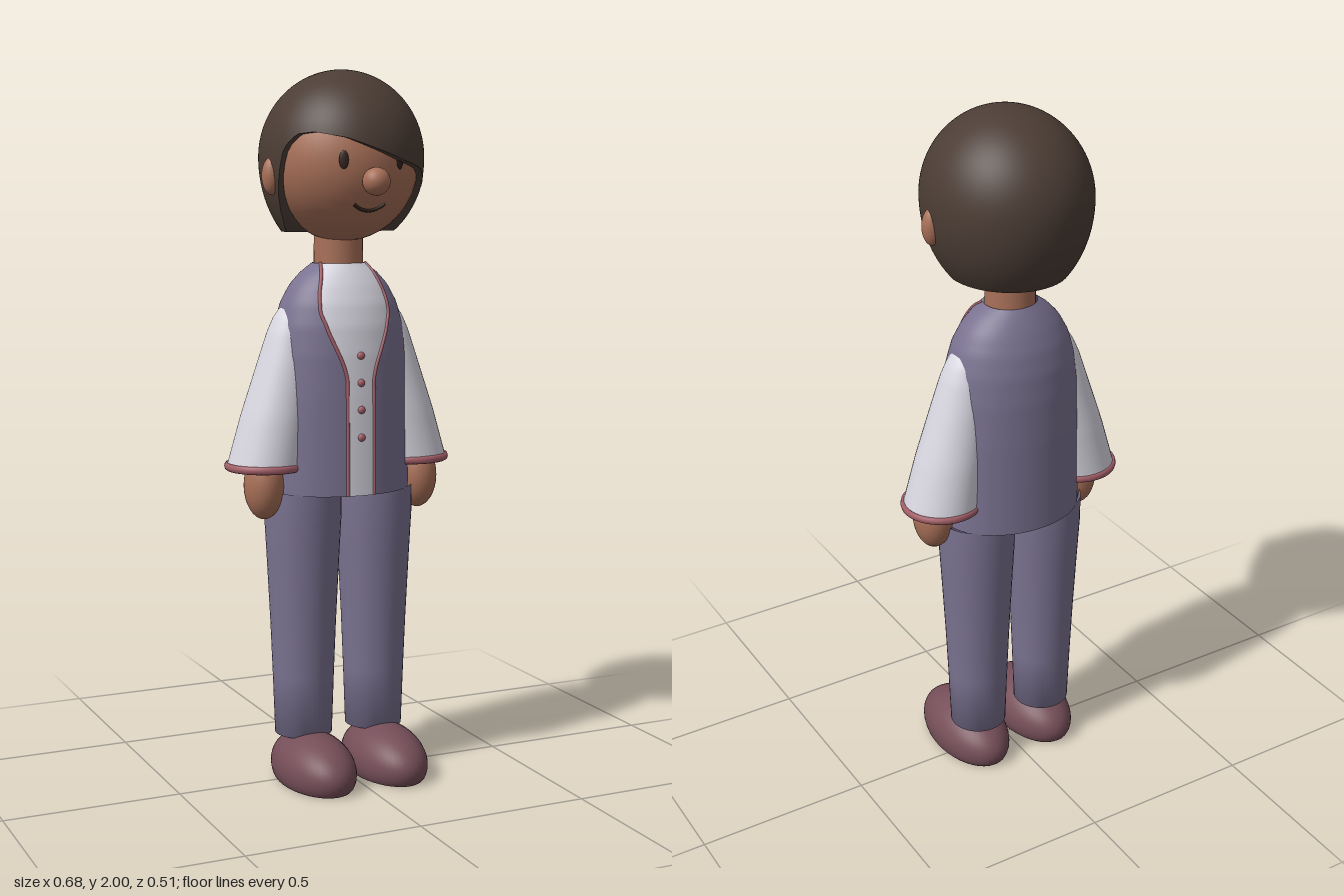
import * as THREE from 'three';
import { mergeVertices } from 'three/addons/utils/BufferGeometryUtils.js';

const material = (name, color, side = THREE.FrontSide) => {
  const m = new THREE.MeshStandardMaterial({ color, side });
  m.name = name;
  return m;
};

// Piecewise linear lookup: rows are [key, value, value...], sorted by key
function sample(rows, key) {
  let i = 0;
  while (i < rows.length - 2 && key > rows[i + 1][0]) i++;
  const a = rows[i], b = rows[i + 1];
  const t = THREE.MathUtils.clamp((key - a[0]) / (b[0] - a[0]), 0, 1);
  return a.slice(1).map((v, k) => v + (b[k + 1] - v) * t);
}

// Smooth surface through fn(u, v): u runs round towards +x, v runs downwards
function surface(fn, nu, nv) {
  const pos = [], index = [];
  for (let j = 0; j <= nv; j++)
    for (let i = 0; i <= nu; i++) pos.push(...fn(i / nu, j / nv));
  for (let j = 0; j < nv; j++)
    for (let i = 0; i < nu; i++) {
      const a = j * (nu + 1) + i, b = a + nu + 1;
      index.push(a, b, a + 1, b, b + 1, a + 1);
    }
  let g = new THREE.BufferGeometry();
  g.setAttribute('position', new THREE.Float32BufferAttribute(pos, 3));
  g.setIndex(index);
  g = mergeVertices(g, 1e-5);
  g.computeVertexNormals();
  return g;
}

// Torso cross-sections: height, half width, half depth
const torsoRows = [
  [0.83, 0.207, 0.158], [1.1, 0.203, 0.155], [1.22, 0.197, 0.151], [1.3, 0.187, 0.143],
  [1.36, 0.17, 0.129], [1.41, 0.143, 0.108], [1.445, 0.11, 0.088], [1.47, 0.075, 0.07],
];
// Half width of the shirt showing in the vest opening
const openingRows = [
  [0.83, 0.04], [1.16, 0.04], [1.2, 0.052], [1.28, 0.085],
  [1.34, 0.103], [1.38, 0.1], [1.43, 0.085], [1.47, 0.068],
];
const bodyZ = -0.028;
const torsoPoint = (a, y) => {
  const [rx, rz] = sample(torsoRows, y);
  return [rx * Math.sin(a), y, bodyZ + rz * Math.cos(a)];
};
const openingAngle = (y) => Math.asin(sample(openingRows, y)[0] / sample(torsoRows, y)[0]);
const torsoY = (v) => 1.47 - 0.64 * v;

// Hairline: azimuth in degrees (0 is front, 90 is the model's left), height
const hairline = [
  [-180, 1.557], [-90, 1.557], [-83, 1.59], [-76, 1.68], [-68, 1.785], [-58, 1.82], [-45, 1.825],
  [-22, 1.81], [0, 1.78], [22, 1.75], [45, 1.73], [58, 1.705], [70, 1.65], [82, 1.585],
  [90, 1.557], [180, 1.557],
];
function hairPoint(u, v) {
  const a = (u * 2 - 1) * Math.PI;
  const limit = sample(hairline, THREE.MathUtils.radToDeg(a))[0] - 1.76;
  const theta = v * Math.acos(limit / (limit > 0 ? 0.24 : 0.295));
  const c = Math.cos(theta), s = Math.sin(theta);
  return [0.227 * s * Math.sin(a), 1.76 + c * (c > 0 ? 0.24 : 0.295), -0.01 + 0.245 * s * Math.cos(a)];
}

// Head ellipsoid front surface
const headY = 1.745, headR = [0.21, 0.215, 0.208];
const faceZ = (x, y) =>
  headR[2] * Math.sqrt(1 - (x / headR[0]) ** 2 - ((y - headY) / headR[1]) ** 2);

export function createModel() {
  const skin = material('skin', 0xa87058);
  const hair = material('hair', 0x4c3d35, THREE.DoubleSide);
  const cloth = material('suitCloth', 0x7a7290, THREE.DoubleSide);
  const shirt = material('shirtCloth', 0xd8d6e0, THREE.DoubleSide);
  const trim = material('trim', 0xa5606a);
  const leather = material('shoeLeather', 0x754e58);
  const dark = material('faceDark', 0x33241f);

  const model = new THREE.Group();
  model.name = 'figure';
  const add = (name, geometry, mat, x = 0, y = 0, z = 0) => {
    const m = new THREE.Mesh(geometry, mat);
    m.name = name;
    m.position.set(x, y, z);
    model.add(m);
    return m;
  };
  const ellipsoid = (name, mat, p, r, seg = 32) => {
    const m = add(name, new THREE.SphereGeometry(1, seg, seg / 2), mat, ...p);
    m.scale.set(...r);
    return m;
  };
  const tube = (points, r) =>
    new THREE.TubeGeometry(new THREE.CatmullRomCurve3(points), points.length * 3, r, 8);

  // Head, nose, mouth and neck
  ellipsoid('head', skin, [0, headY, 0], headR, 48);
  ellipsoid('nose', skin, [0, 1.695, 0.218], [0.038, 0.038, 0.037]);
  const smile = [];
  for (let i = -4; i <= 4; i++) {
    const x = i * 0.0115, y = 1.617 + 0.018 * (i / 4) ** 2;
    smile.push(new THREE.Vector3(x, y, faceZ(x, y)));
  }
  add('mouth', tube(smile, 0.005), dark);
  add('neck', new THREE.CylinderGeometry(0.068, 0.07, 0.16, 32), skin, 0, 1.51, bodyZ);

  // Hair cap with an underside closing it against the head
  add('hair', surface(hairPoint, 120, 32), hair);
  add('hairEdge', surface((u, v) => {
    const [x, y, z] = hairPoint(u, 1);
    return [x * (1 - v * 0.5), y, z * (1 - v * 0.5)];
  }, 120, 1), hair);

  // Vest wraps round the back, shirt fills the front opening
  add('vest', surface((u, v) => {
    const y = torsoY(v), w = openingAngle(y);
    return torsoPoint(w + u * 2 * (Math.PI - w), y);
  }, 64, 48), cloth);
  add('shirtFront', surface((u, v) => {
    const y = torsoY(v);
    return torsoPoint((u * 2 - 1) * openingAngle(y), y);
  }, 20, 48), shirt);
  const hem = add('shirtHem', new THREE.CircleGeometry(1, 48), shirt, 0, 0.835, bodyZ);
  hem.rotation.x = Math.PI / 2;
  hem.scale.set(0.205, 0.156, 1);
  for (const y of [1.22, 1.145, 1.07, 0.993])
    ellipsoid('button', trim, [0, y, torsoPoint(0, y)[2]], [0.011, 0.011, 0.008], 16);

  // Sleeve sections: height, centre x, radius
  const sleeveRows = [
    [0.9, 0.225, 0.109], [1.05, 0.192, 0.098], [1.2, 0.158, 0.081], [1.28, 0.144, 0.068],
    [1.32, 0.137, 0.057], [1.345, 0.134, 0.043], [1.36, 0.13, 0.02], [1.365, 0.13, 0],
  ];
  const legProfile = [[0, 0.125], [0.082, 0.125], [0.088, 0.3], [0.094, 0.45], [0.104, 0.65],
    [0.11, 0.76], [0.11, 0.834]].map(([r, y]) => new THREE.Vector2(r, y));

  // Shoe: dome with a flat sole
  const shoe = new THREE.SphereGeometry(1, 40, 28);
  const sp = shoe.attributes.position;
  for (let i = 0; i < sp.count; i++)
    sp.setXYZ(i, sp.getX(i) * 0.107, Math.max(sp.getY(i) * 0.1, -0.04), sp.getZ(i) * 0.186);
  shoe.computeVertexNormals();

  for (const [side, s] of [['left', 1], ['right', -1]]) {
    // Face details
    ellipsoid(side + 'Ear', skin, [s * 0.215, 1.71, 0.008], [0.028, 0.052, 0.028]);
    const eye = ellipsoid(side + 'Eye', dark, [s * 0.083, 1.752, faceZ(0.083, 1.752)], [0.013, 0.025, 0.005], 20);
    eye.rotation.y = s * 0.41;

    // Trim along the vest edge
    const edge = [];
    for (let i = 0; i <= 24; i++) {
      const y = torsoY(i / 24);
      edge.push(new THREE.Vector3(...torsoPoint(s * openingAngle(y), y)));
    }
    add(side + 'VestTrim', tube(edge, 0.005), trim);

    // Arm
    add(side + 'Sleeve', surface((u, v) => {
      const y = 1.365 - 0.465 * v ** 1.5, a = u * Math.PI * 2;
      const [cx, r] = sample(sleeveRows, y);
      return [s * cx + r * Math.sin(a), y, -0.03 + r * Math.cos(a)];
    }, 40, 32), shirt);
    const cuff = add(side + 'Cuff', new THREE.TorusGeometry(0.107, 0.007, 8, 48), trim, s * 0.225, 0.908, -0.03);
    cuff.rotation.x = Math.PI / 2;
    cuff.scale.z = 1.6;
    ellipsoid(side + 'Hand', skin, [s * 0.239, 0.855, -0.005], [0.055, 0.095, 0.064]);
    const wrist = add(side + 'Wrist', new THREE.CylinderGeometry(0.035, 0.04, 0.25, 20), skin, s * 0.215, 1.0, -0.02);
    wrist.rotation.z = s * 0.2;

    // Leg and shoe
    add(side + 'Leg', new THREE.LatheGeometry(legProfile, 40), cloth, s * 0.111, 0, bodyZ);
    add(side + 'Shoe', shoe, leather, s * 0.112, 0.04, 0.045);
  }
  return model;
}
